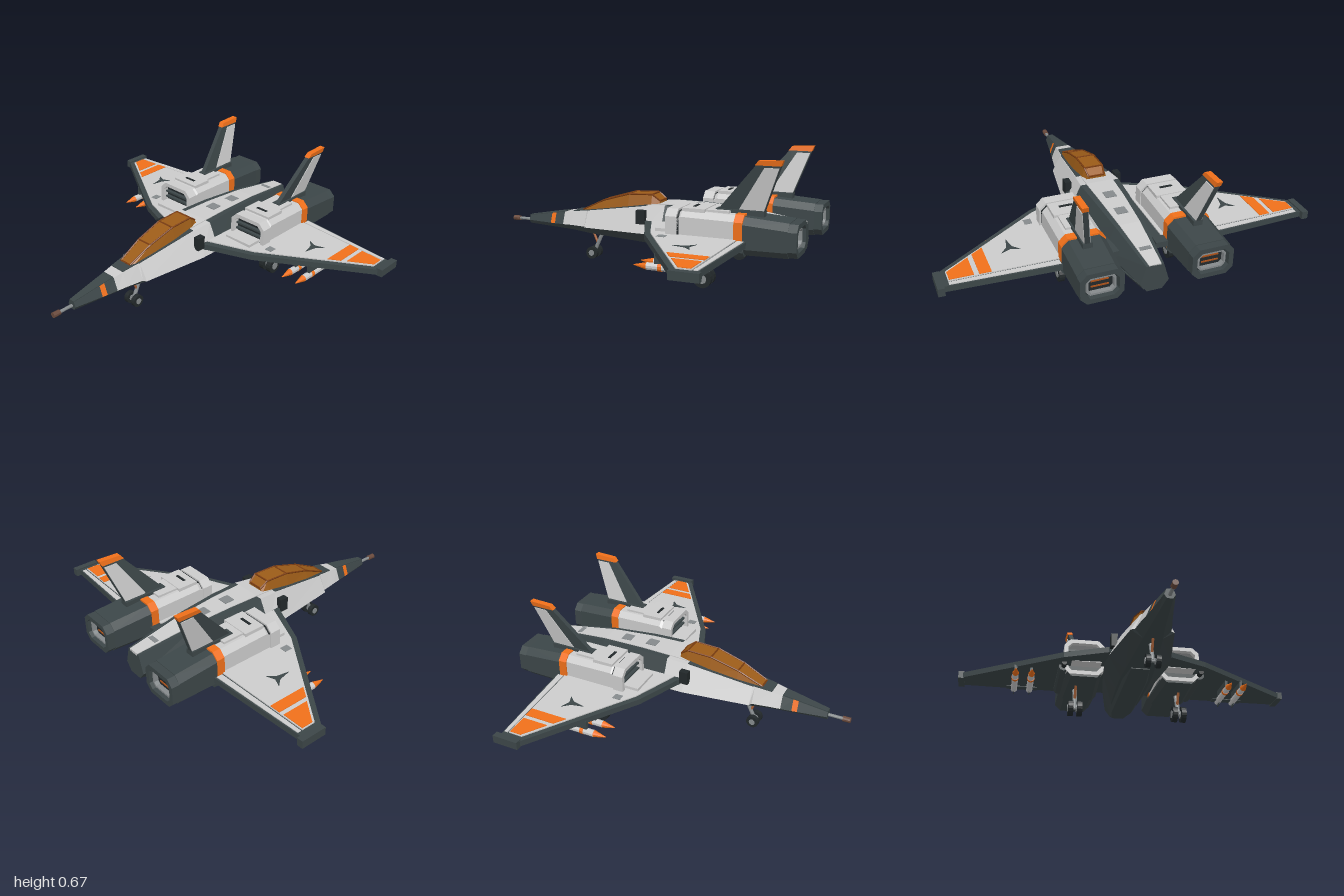
import * as THREE from 'three';

const LIGHT = 0xcccccc, DARK = 0x3c4648, BLACK = 0x22282a, ORANGE = 0xf0701a, GLASS = 0x9c5c18, STEEL = 0x858a8c;

// Closed solid through cross-sections ordered from front to back (corners anticlockwise seen from the front)
function loft(rings) {
  const p = [], n = rings[0].length;
  const tri = (a, b, c) => p.push(...a, ...b, ...c);
  for (let r = 0; r < rings.length - 1; r++) {
    const f = rings[r], b = rings[r + 1];
    for (let i = 0; i < n; i++) {
      const j = (i + 1) % n;
      tri(f[i], b[i], b[j]);
      tri(f[i], b[j], f[j]);
    }
  }
  const first = rings[0], last = rings[rings.length - 1];
  for (let i = 1; i < n - 1; i++) {
    tri(first[0], first[i], first[i + 1]);
    tri(last[0], last[i + 1], last[i]);
  }
  const g = new THREE.BufferGeometry();
  g.setAttribute('position', new THREE.Float32BufferAttribute(p, 3));
  return g;
}

// Trapezoid section: lower half-width and height, upper half-width and height
const trap = (z, w0, y0, w1, y1) => [[-w0, y0, z], [w0, y0, z], [w1, y1, z], [-w1, y1, z]];
const octPts = (x0, x1, y0, y1, c) => [[x0 + c, y0], [x1 - c, y0], [x1, y0 + c], [x1, y1 - c],
  [x1 - c, y1], [x0 + c, y1], [x0, y1 - c], [x0, y0 + c]];
const oct = (z, ...a) => octPts(...a).map(([x, y]) => [x, y, z]);
const toShape = pts => new THREE.Shape(pts.map(([x, y]) => new THREE.Vector2(x, y)));

// Chamfered rectangular frame with an opening, from z forwards by depth
function frame(x0, x1, y0, y1, c, b, z, depth) {
  const s = toShape(octPts(x0, x1, y0, y1, c));
  s.holes.push(toShape(octPts(x0 + b, x1 - b, y0 + b, y1 - b, c * 0.7)));
  return new THREE.ExtrudeGeometry(s, { depth, bevelEnabled: false }).translate(0, 0, z);
}

// Horizontal plate from [x, z] corners, drooping slightly towards the tip
function wingPlate(pts, y, th) {
  const g = new THREE.ExtrudeGeometry(toShape(pts.map(([x, z]) => [x, -z])), { depth: th, bevelEnabled: false });
  g.rotateX(-Math.PI / 2);
  const p = g.attributes.position;
  for (let i = 0; i < p.count; i++) p.setY(i, p.getY(i) + y - 0.025 * p.getX(i));
  return g;
}

// Upright plate from [z, y] corners, leaning outwards
function finPlate(pts, x, th) {
  const g = new THREE.ExtrudeGeometry(toShape(pts.map(([z, y]) => [-z, y])), { depth: th, bevelEnabled: false });
  g.rotateY(Math.PI / 2);
  const p = g.attributes.position;
  for (let i = 0; i < p.count; i++) p.setX(i, p.getX(i) + x - th / 2 + 0.17 * (p.getY(i) - 0.4));
  return g;
}

const box = (x0, x1, y0, y1, z0, z1) => new THREE.BoxGeometry(x1 - x0, y1 - y0, Math.abs(z1 - z0))
  .translate((x0 + x1) / 2, (y0 + y1) / 2, (z0 + z1) / 2);

function rod(a, b, r0, r1 = r0, sides = 10) {
  const A = new THREE.Vector3(...a), B = new THREE.Vector3(...b), d = B.clone().sub(A);
  const g = new THREE.CylinderGeometry(r1, r0, d.length(), sides);
  g.applyQuaternion(new THREE.Quaternion().setFromUnitVectors(new THREE.Vector3(0, 1, 0), d.normalize()));
  return g.translate(...A.add(B).multiplyScalar(0.5).toArray());
}

export function createModel() {
  const model = new THREE.Group();
  model.name = 'jetAircraft';
  const mats = {};
  const add = (name, geo, color) => {
    const g = geo.index ? geo.toNonIndexed() : geo;
    g.deleteAttribute('uv');
    g.computeVertexNormals();
    mats[color] ??= new THREE.MeshStandardMaterial({ color, flatShading: true });
    const m = new THREE.Mesh(g, mats[color]);
    m.name = name;
    model.add(m);
    return g;
  };
  // Left part plus its mirror image with the winding restored
  const pair = (name, geo, color) => {
    const g = add(name + 'Left', geo, color).clone().scale(-1, 1, 1), a = g.attributes.position.array;
    for (let i = 0; i < a.length; i += 9) for (let k = 3; k < 6; k++) [a[i + k], a[i + k + 3]] = [a[i + k + 3], a[i + k]];
    add(name + 'Right', g, color);
  };

  // Fuselage stations: z, bottom / waist / top height, bottom / waist / top half-width
  const S = [
    [0.79, 0.175, 0.195, 0.222, 0.015, 0.028, 0.018], [0.63, 0.17, 0.195, 0.25, 0.028, 0.053, 0.032],
    [0.6, 0.169, 0.195, 0.255, 0.03, 0.058, 0.035], [0.54, 0.167, 0.197, 0.265, 0.035, 0.068, 0.04],
    [0.48, 0.165, 0.2, 0.275, 0.04, 0.08, 0.047], [0.385, 0.157, 0.2, 0.288, 0.05, 0.095, 0.058],
    [0.375, 0.156, 0.2, 0.29, 0.052, 0.115, 0.065], [0, 0.14, 0.21, 0.35, 0.08, 0.175, 0.1],
    [-0.12, 0.14, 0.215, 0.362, 0.088, 0.182, 0.11], [-0.3, 0.14, 0.22, 0.362, 0.088, 0.165, 0.1],
    [-0.55, 0.14, 0.22, 0.35, 0.08, 0.135, 0.08], [-0.87, 0.165, 0.21, 0.31, 0.04, 0.075, 0.045],
  ];
  const upper = (i, j) => loft(S.slice(i, j + 1).map(s => trap(s[0], s[5], s[2], s[6], s[3])));
  const deck = (i, j, k) => loft(S.slice(i, j + 1).map(s => trap(s[0], s[6] * k, s[3] - 0.01, s[6] * k, s[3] + 0.004)));
  add('lowerHull', loft(S.map(s => trap(s[0], s[4], s[1], s[5], s[2]))), DARK);
  [['noseTip', 0, 1, DARK], ['noseBand', 1, 2, ORANGE], ['noseRear', 2, 3, DARK], ['noseCollar', 3, 5, LIGHT],
    ['cockpitSides', 5, 8, LIGHT], ['rearHull', 8, 11, DARK]].forEach(([n, i, j, c]) => add(n, upper(i, j), c));
  add('noseDeck', deck(0, 3, 0.9), DARK);
  add('cockpitDeck', deck(4, 7, 0.95), DARK);
  add('spineStrip', deck(7, 11, 0.7), LIGHT);
  add('bellyPan', loft([trap(0.02, 0.05, 0.136, 0.06, 0.15), trap(-0.15, 0.06, 0.12, 0.08, 0.15),
    trap(-0.65, 0.06, 0.12, 0.08, 0.15), trap(-0.82, 0.035, 0.14, 0.05, 0.165)]), DARK);
  [[-0.27, 0.37], [-0.43, 0.362], [-0.73, 0.331]].forEach(([z, y]) =>
    add('spineHatch', box(-0.03, 0.03, y - 0.02, y, z - 0.03, z + 0.03), STEEL));
  pair('sideVent', box(0.13, 0.165, 0.26, 0.335, -0.02, 0.03), BLACK);
  add('probe', rod([0, 0.195, 0.76], [0, 0.195, 0.88], 0.009), STEEL);
  add('probeTip', rod([0, 0.195, 0.87], [0, 0.195, 0.912], 0.015), 0x6a4a3c);

  // Faceted canopy with frame bars
  const C = [[0.42, 0.05, 0.275, 0.035, 0.288], [0.28, 0.065, 0.295, 0.045, 0.355], [0.12, 0.075, 0.32, 0.052, 0.402],
    [-0.02, 0.072, 0.34, 0.052, 0.408], [-0.065, 0.062, 0.35, 0.045, 0.375]];
  add('canopy', loft(C.map(c => trap(...c))), GLASS);
  for (let i = 0; i < 4; i++) {
    const e = (c, s) => [s ? c[3] : c[1], s ? c[4] : c[2], c[0]];
    for (const s of [0, 1]) pair('canopyRail', rod(e(C[i], s), e(C[i + 1], s), 0.005, 0.005, 5), 0x7a3c10);
  }
  C.forEach(c => add('canopyBar', rod([-c[3], c[4], c[0]], [c[3], c[4], c[0]], 0.005, 0.005, 5), 0x7a3c10));

  // Engine nacelles: intake, body, band, exhaust
  pair('intakeRim', frame(0.165, 0.4, 0.19, 0.405, 0.035, 0.022, -0.3, 0.06), LIGHT);
  pair('intakeBack', loft([oct(-0.275, 0.175, 0.39, 0.2, 0.395, 0.03), oct(-0.31, 0.175, 0.39, 0.2, 0.395, 0.03)]), BLACK);
  for (let i = 0; i < 4; i++) pair('intakeSlat', box(0.19, 0.375, 0.235 + i * 0.034, 0.245 + i * 0.034, -0.28, -0.255), DARK);
  pair('nacelle', loft([oct(-0.3, 0.17, 0.39, 0.2, 0.388, 0.03), oct(-0.32, 0.17, 0.39, 0.2, 0.4, 0.03),
    oct(-0.6, 0.17, 0.39, 0.2, 0.395, 0.03)]), LIGHT);
  pair('nacelleTray', loft([oct(-0.25, 0.18, 0.38, 0.18, 0.25, 0.025), oct(-0.65, 0.165, 0.395, 0.19, 0.25, 0.025)]), DARK);
  pair('nacelleBand', loft([oct(-0.6, 0.165, 0.397, 0.194, 0.4, 0.035), oct(-0.645, 0.165, 0.397, 0.194, 0.4, 0.035)]), ORANGE);
  pair('exhaustHousing', loft([oct(-0.645, 0.165, 0.395, 0.197, 0.39, 0.035), oct(-0.87, 0.175, 0.395, 0.2, 0.375, 0.035)]), DARK);
  pair('exhaustRim', frame(0.175, 0.395, 0.205, 0.372, 0.035, 0.025, -0.915, 0.045), DARK);
  pair('exhaustInnerRim', frame(0.21, 0.36, 0.24, 0.337, 0.02, 0.01, -0.9, 0.03), STEEL);
  pair('exhaustBack', box(0.195, 0.375, 0.225, 0.352, -0.875, -0.865), BLACK);
  for (const y of [0.27, 0.3]) pair('exhaustGlow', box(0.24, 0.33, y, y + 0.007, -0.88, -0.87), 0xa8501a);
  pair('nacelleHatch', box(0.195, 0.365, 0.385, 0.412, -0.44, -0.32), LIGHT);
  pair('hatchSlot', box(0.245, 0.315, 0.405, 0.415, -0.375, -0.36), BLACK);
  pair('hatchStep', box(0.215, 0.345, 0.385, 0.408, -0.56, -0.44), LIGHT);
  pair('wingRootBox', box(0.19, 0.36, 0.24, 0.295, -0.26, -0.17), LIGHT);

  // Wings with light skins, flaps and orange markings
  pair('wing', wingPlate([[0.13, 0.0], [0.17, -0.03], [0.41, -0.13], [0.98, -0.505], [0.98, -0.62], [0.4, -0.665], [0.1, -0.66]], 0.25, 0.032), DARK);
  pair('wingSkin', wingPlate([[0.15, -0.06], [0.4, -0.16], [0.94, -0.512], [0.94, -0.59], [0.38, -0.615], [0.15, -0.6]], 0.28, 0.008), LIGHT);
  pair('flap', wingPlate([[0.4, -0.622], [0.94, -0.597], [0.94, -0.617], [0.4, -0.655]], 0.28, 0.006), LIGHT);
  pair('wingStripe', wingPlate([[0.73, -0.385], [0.79, -0.424], [0.79, -0.594], [0.73, -0.597]], 0.286, 0.005), ORANGE);
  pair('wingPanel', wingPlate([[0.815, -0.443], [0.935, -0.522], [0.935, -0.585], [0.815, -0.59]], 0.286, 0.005), ORANGE);
  pair('wingHatch', wingPlate([[0.43, -0.22], [0.47, -0.22], [0.47, -0.265], [0.43, -0.265]], 0.286, 0.004), STEEL);
  pair('wingEmblemPlate', wingPlate([[0.6, -0.36], [0.615, -0.43], [0.65, -0.47], [0.6, -0.45], [0.55, -0.47], [0.585, -0.43]], 0.286, 0.004), DARK);
  pair('wingTip', box(0.965, 1.0, 0.222, 0.265, -0.645, -0.5), DARK);

  // Canted tail fins
  pair('tailFin', finPlate([[-0.47, 0.385], [-0.7, 0.655], [-0.705, 0.665], [-0.825, 0.67], [-0.72, 0.385]], 0.29, 0.026), DARK);
  pair('finRudder', finPlate([[-0.6, 0.415], [-0.735, 0.635], [-0.808, 0.635], [-0.728, 0.415]], 0.29, 0.034), LIGHT);
  pair('finTip', finPlate([[-0.687, 0.645], [-0.705, 0.668], [-0.828, 0.673], [-0.817, 0.645]], 0.29, 0.032), ORANGE);
  pair('finRoot', box(0.265, 0.315, 0.38, 0.412, -0.73, -0.48), DARK);

  // Missiles on pylons, and the pod at each nacelle
  for (const x of [0.58, 0.67]) {
    pair('pylon', box(x - 0.008, x + 0.008, 0.185, 0.245, -0.48, -0.3), DARK);
    pair('missileBody', rod([x, 0.178, -0.515], [x, 0.178, -0.26], 0.019), LIGHT);
    pair('missileBand', rod([x, 0.178, -0.34], [x, 0.178, -0.32], 0.021), ORANGE);
    pair('missileNose', rod([x, 0.178, -0.26], [x, 0.178, -0.19], 0.019, 0.002), ORANGE);
    pair('missileFinFlat', box(x - 0.045, x + 0.045, 0.176, 0.18, -0.51, -0.46), DARK);
    pair('missileFinUpright', box(x - 0.002, x + 0.002, 0.145, 0.21, -0.51, -0.46), DARK);
  }
  pair('gunPod', rod([0.4, 0.235, -0.62], [0.4, 0.235, -0.24], 0.03), DARK);
  pair('gunBarrel', rod([0.4, 0.235, -0.24], [0.4, 0.235, -0.19], 0.015), BLACK);

  // Landing gear: twin wheels, struts and braces
  const wheel = (name, x, y, z, r, w) => {
    pair(name + 'Tyre', rod([x - w / 2, y, z], [x + w / 2, y, z], r, r, 18), BLACK);
    pair(name + 'Hub', rod([x - w / 2 - 0.003, y, z], [x + w / 2 + 0.003, y, z], r * 0.5, r * 0.5, 12), STEEL);
  };
  wheel('noseWheel', 0.027, 0.035, 0.37, 0.035, 0.025);
  add('noseAxle', rod([-0.027, 0.035, 0.37], [0.027, 0.035, 0.37], 0.008), STEEL);
  add('noseStrut', rod([0, 0.035, 0.37], [0, 0.165, 0.31], 0.011), STEEL);
  add('noseBrace', rod([0, 0.085, 0.345], [0, 0.165, 0.38], 0.007), 0xa8623a);
  wheel('mainWheel', 0.285, 0.047, -0.425, 0.047, 0.03);
  wheel('mainWheel', 0.337, 0.047, -0.425, 0.047, 0.03);
  pair('mainAxle', rod([0.285, 0.047, -0.425], [0.337, 0.047, -0.425], 0.01), STEEL);
  pair('mainStrut', rod([0.311, 0.047, -0.425], [0.311, 0.2, -0.49], 0.014), STEEL);
  pair('mainBrace', rod([0.311, 0.11, -0.45], [0.311, 0.2, -0.41], 0.008), 0xa8623a);
  return model;
}
